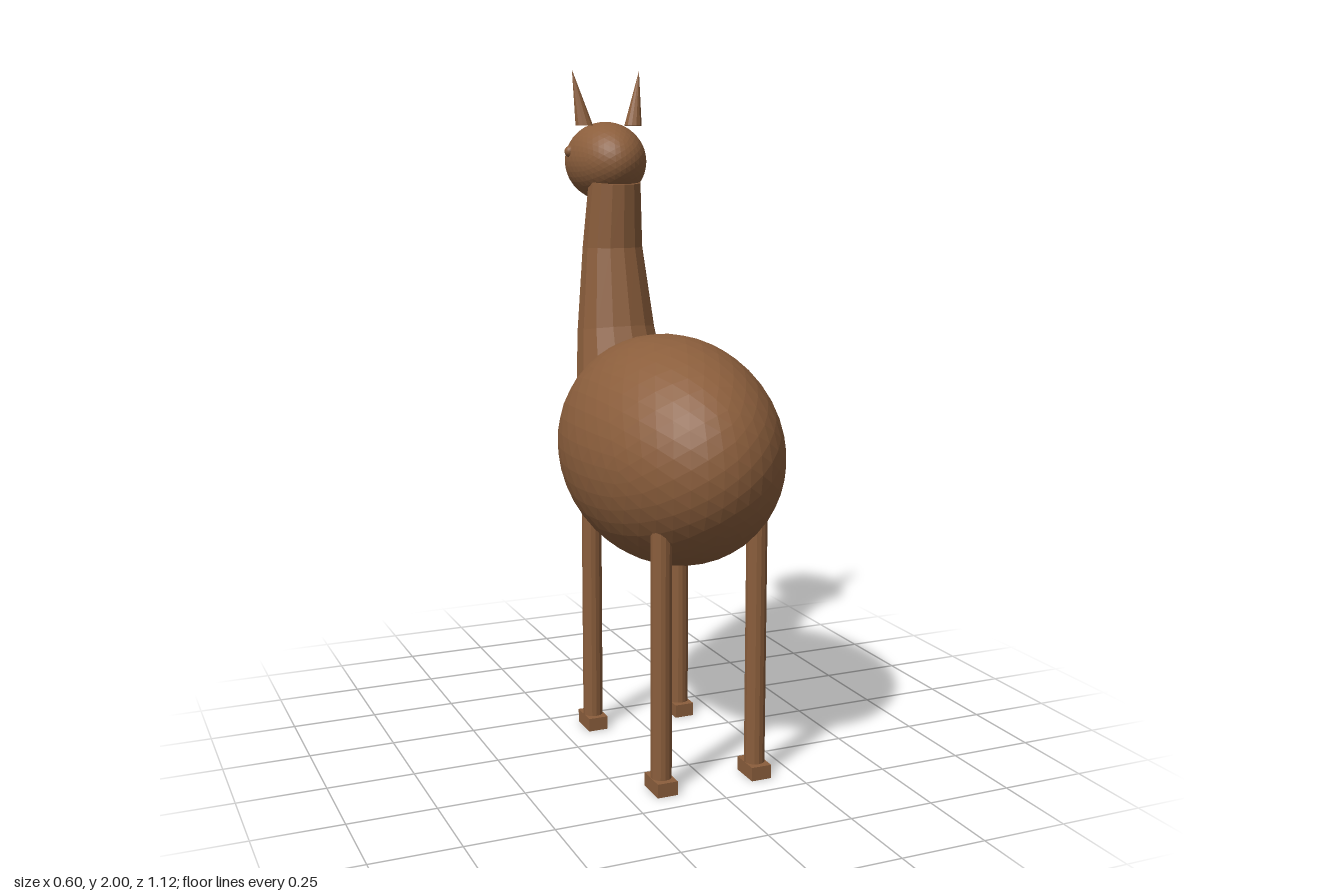
import * as THREE from 'three';

export function createModel() {
  const model = new THREE.Group();
  model.name = 'longNeckedAnimal';
  const brown = new THREE.MeshStandardMaterial({ color: 0x8b5e3c });
  brown.name = 'brown';
  brown.flatShading = true;

  const add = (name, geometry, x = 0, y = 0, z = 0) => {
    const mesh = new THREE.Mesh(geometry, brown);
    mesh.name = name;
    mesh.position.set(x, y, z);
    model.add(mesh);
    return mesh;
  };

  // Faceted egg shapes
  const ellipsoid = (rx, ry, rz, detail) =>
    new THREE.IcosahedronGeometry(1, detail).scale(rx, ry, rz);

  add('body', ellipsoid(0.298, 0.33, 0.458, 7), 0, 0.91, 0.1);
  add('head', ellipsoid(0.117, 0.12, 0.172, 7), 0, 1.725, -0.388);

  // Neck: tapered rings, each tilted to follow the curve (y, z, radius, slope)
  const rings = [
    [0.99, -0.245, 0.147, 0.2],
    [1.215, -0.305, 0.12, 0.17],
    [1.465, -0.331, 0.093, 0.02],
    [1.665, -0.311, 0.08, -0.1],
  ];
  const sides = 14;
  const neck = new THREE.CylinderGeometry(1, 1, 1, sides, rings.length - 1);
  const p = neck.attributes.position;
  for (let i = 0; i < p.count; i++) {
    const [y, z, r, slope] = rings[Math.round((p.getY(i) + 0.5) * (rings.length - 1))];
    const dz = p.getZ(i) * r;
    p.setXYZ(i, p.getX(i) * r, y + dz * slope, z + dz);
  }
  neck.computeVertexNormals();
  add('neck', neck);

  for (const side of [1, -1]) {
    const label = side > 0 ? 'left' : 'right';

    // Ear: cone with a level base and its tip leaning out and forward
    const ear = new THREE.ConeGeometry(0.027, 0.167, 12);
    ear.translate(0, 0.0835, 0);
    const lean = new THREE.Matrix4().set(
      1, side * 0.18, 0, 0,
      0, 1, 0, 0,
      0, -0.14, 1, 0,
      0, 0, 0, 1);
    ear.applyMatrix4(lean);
    add(label + 'Ear', ear, side * 0.08, 1.833, -0.357);

    add(label + 'Eye', ellipsoid(0.018, 0.018, 0.018, 3), side * 0.109, 1.755, -0.404);

    // Legs and hooves
    for (const [end, z] of [['Front', -0.148], ['Back', 0.382]]) {
      add(label + end + 'Leg', new THREE.CylinderGeometry(0.03, 0.03, 0.76, 14),
        side * 0.145, 0.4, z);
      add(label + end + 'Hoof', new THREE.BoxGeometry(0.06, 0.04, 0.094),
        side * 0.145, 0.02, z);
    }
  }
  return model;
}
